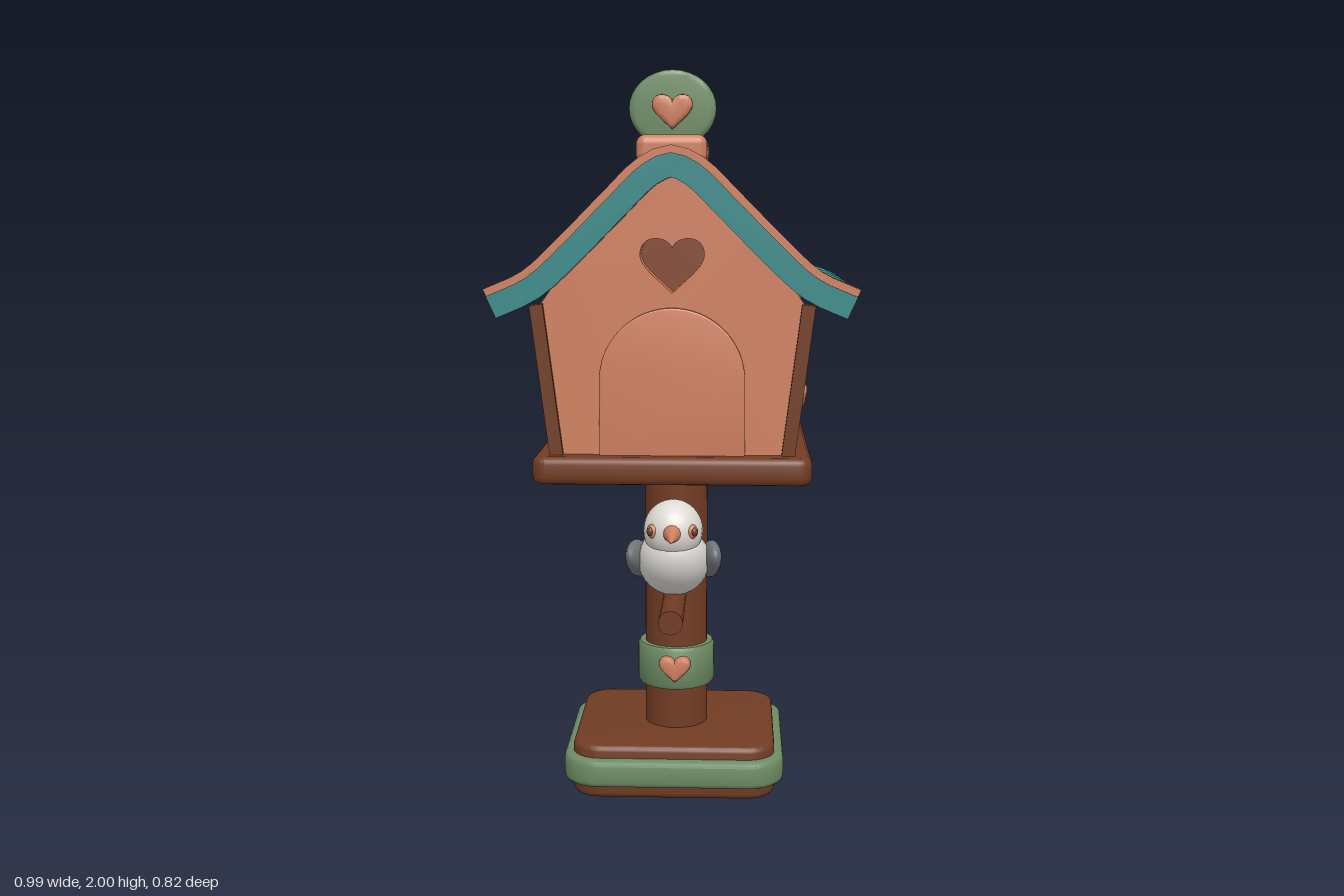
import * as THREE from 'three';
import { toCreasedNormals } from 'three/addons/utils/BufferGeometryUtils.js';
import { RoundedBoxGeometry } from 'three/addons/geometries/RoundedBoxGeometry.js';

const mat = (name, color, side = THREE.FrontSide) => {
  const m = new THREE.MeshStandardMaterial({ color, side });
  m.name = name;
  return m;
};
const clay = mat('terracotta', 0xd08060);
const teal = mat('teal', 0x388a89, THREE.DoubleSide);
const wood = mat('brown wood', 0x713c23);
const recess = mat('shaded brown', 0x84482f);
const green = mat('sage green', 0x6c8b63);
const white = mat('off white', 0xdedbd6);
const grey = mat('grey feathers', 0x74777a);

// Roof cross-section, eave to eave over the apex
const half = [[0.07, 1.755], [0.165, 1.665], [0.28, 1.55], [0.38, 1.46], [0.485, 1.412]];
const roofCurve = new THREE.CatmullRomCurve3([
  ...half.map(([x, y]) => new THREE.Vector3(-x, y, 0)).reverse(),
  new THREE.Vector3(0, 1.782, 0),
  ...half.map(([x, y]) => new THREE.Vector3(x, y, 0)),
]);
// f runs from -1 (right eave) to 1 (left eave); lift is measured along the normal
function roofPoint(f, lift) {
  const u = 0.5 + 0.5 * f;
  const p = roofCurve.getPointAt(u), t = roofCurve.getTangentAt(u);
  return new THREE.Vector2(p.x - t.y * lift, p.y + t.x * lift);
}
function roofLine(f, lift, n = 32) {
  return Array.from({ length: n + 1 }, (_, i) => roofPoint(f * (1 - 2 * i / n), lift));
}

function extrude(shape, z0, z1, bevel = 0) {
  const geo = new THREE.ExtrudeGeometry(shape, {
    depth: z1 - z0 - 2 * bevel, curveSegments: 16, bevelEnabled: bevel > 0,
    bevelSize: bevel, bevelThickness: bevel, bevelOffset: -bevel, bevelSegments: 3,
  });
  geo.translate(0, 0, z0 + bevel);
  return toCreasedNormals(geo, 0.6);
}
const roofBand = (f, top, bottom, z0, z1) => extrude(
  new THREE.Shape([...roofLine(f, top), ...roofLine(f, bottom).reverse()]), z0, z1);

function heart(w, y = 0) {
  const s = new THREE.Shape();
  s.moveTo(0, y + 0.5 * w);
  s.bezierCurveTo(0.15 * w, y + 0.9 * w, w, y + 0.95 * w, w, y + 0.3 * w);
  s.bezierCurveTo(w, y - 0.1 * w, 0.4 * w, y - 0.5 * w, 0, y - 0.9 * w);
  s.bezierCurveTo(-0.4 * w, y - 0.5 * w, -w, y - 0.1 * w, -w, y + 0.3 * w);
  s.bezierCurveTo(-w, y + 0.95 * w, -0.15 * w, y + 0.9 * w, 0, y + 0.5 * w);
  return s;
}
function arch(w, y0, top) {
  const s = new THREE.Shape();
  s.moveTo(-w, y0);
  s.lineTo(w, y0);
  s.absarc(0, top - w, w, 0, Math.PI, false);
  s.lineTo(-w, y0);
  return s;
}
// Flat slab with rounded corners in plan
function slab(hx, hz, y0, y1, r, bevel) {
  const s = new THREE.Shape();
  s.absarc(hx - r, hz - r, r, 0, Math.PI / 2);
  s.absarc(-hx + r, hz - r, r, Math.PI / 2, Math.PI);
  s.absarc(-hx + r, -hz + r, r, Math.PI, Math.PI * 1.5);
  s.absarc(hx - r, -hz + r, r, Math.PI * 1.5, Math.PI * 2);
  return extrude(s, y0, y1, bevel).rotateX(-Math.PI / 2);
}

// One row of scalloped shingles; the last strip of the grid is the drop below the edge
function shingleRow(side, start, edge, shift) {
  const geo = new THREE.PlaneGeometry(0.7, 1, 70, 7), p = geo.attributes.position;
  for (let i = 0; i < p.count; i++) {
    const k = Math.round((0.5 - p.getY(i)) * 7), v = Math.min(k / 6, 1);
    const z = -0.06 - side * p.getX(i);
    const t = (((z + shift) / 0.19) % 1 + 1) % 1;
    const e = edge - 0.075 * (1 - Math.sqrt(Math.max(0, 1 - (2 * t - 1) ** 2)));
    const q = roofPoint(side * (start + (e - start) * v), k === 7 ? -0.004 : 0.002 + 0.02 * v);
    p.setXYZ(i, q.x, q.y, z);
  }
  return toCreasedNormals(geo, 0.7);
}

export function createModel() {
  const model = new THREE.Group();
  model.name = 'birdhouse';
  const add = (name, geo, material, x = 0, y = 0, z = 0, parent = model) => {
    const m = new THREE.Mesh(geo, material);
    m.name = name;
    m.position.set(x, y, z);
    parent.add(m);
    return m;
  };

  // Base, pole and perch
  add('base', slab(0.285, 0.262, 0, 0.15, 0.08, 0.015), wood, 0, 0, 0.012);
  add('baseBand', slab(0.31, 0.285, 0.04, 0.117, 0.1, 0.015), green, 0, 0, 0.018);
  add('pole', new THREE.CylinderGeometry(0.09, 0.09, 0.79, 32), wood, 0, 0.53, 0.018);
  const ring = [[0.08, 0.27], [0.105, 0.27], [0.111, 0.28], [0.111, 0.382], [0.105, 0.392], [0.08, 0.392]];
  add('poleBand', toCreasedNormals(new THREE.LatheGeometry(
    ring.map(([x, y]) => new THREE.Vector2(x, y)), 32), 0.6), green, 0, 0, 0.02);
  add('poleHeart', extrude(heart(0.045), 0, 0.035, 0.012), clay, 0, 0.335, 0.113);
  add('perch', new THREE.CylinderGeometry(0.033, 0.033, 0.31, 20).rotateX(Math.PI / 2), wood, 0, 0.548, 0.255);

  // House floor and walls
  add('floor', slab(0.375, 0.378, 0.91, 0.985, 0.04, 0.02), wood, 0, 0, -0.015);
  const wallShape = () => new THREE.Shape([
    new THREE.Vector2(-0.315, 0.97), new THREE.Vector2(0.315, 0.97), new THREE.Vector2(0.365, 1.37),
    ...roofLine(0.72, -0.05, 20), new THREE.Vector2(-0.365, 1.37)]);
  add('houseBody', extrude(wallShape(), -0.345, 0.23), clay);
  add('recessBack', extrude(arch(0.17, 0.98, 1.34), 0.23, 0.237), recess);
  add('heartRecess', extrude(heart(0.095, 1.495), 0.23, 0.237), recess);
  const front = wallShape();
  front.holes.push(arch(0.155, 0.986, 1.33), heart(0.085, 1.495));
  add('frontWall', extrude(front, 0.23, 0.3), clay);
  const frame = arch(0.195, 0.98, 1.38);
  frame.holes.push(arch(0.155, 0.982, 1.33));
  add('doorFrame', extrude(frame, 0.29, 0.318, 0.004), clay);

  for (const s of [1, -1]) {
    const side = s > 0 ? 'left' : 'right';
    // Leaning corner posts
    const lean = -s * 0.125;
    add(side + 'FrontPost', new THREE.BoxGeometry(0.036, 0.42, 0.055), wood, s * 0.336, 1.18, 0.288).rotation.z = lean;
    add(side + 'BackPost', new THREE.BoxGeometry(0.02, 0.42, 0.016), wood, s * 0.334, 1.18, -0.341).rotation.z = lean;
    // Little side door
    const door = new THREE.Group();
    door.name = side + 'SideDoor';
    door.position.set(s * 0.315, 0.98, -0.018);
    door.rotation.set(0, s * Math.PI / 2, lean, 'ZYX');
    model.add(door);
    add('sideDoorPanel', extrude(arch(0.085, 0, 0.252), -0.01, 0.02, 0.005), green, 0, 0, 0, door);
    add('sideDoorHeart', extrude(heart(0.038), 0, 0.03, 0.01), clay, 0, 0.135, 0.01, door);
    // Shingles
    [0.36, 0.56, 0.76, 0.96].forEach((edge, r) => add(side + 'Shingles' + (r + 1),
      shingleRow(s, Math.max(0.04, edge - 0.3), edge, (r % 2) * 0.07 + 0.06), teal));
  }

  // Roof shell, gable trim and ridge
  add('roofShell', roofBand(0.92, 0, -0.055, -0.41, 0.295), teal);
  add('gableTrim', roofBand(1, 0.022, -0.06, 0.288, 0.364), clay);
  add('gableFace', roofBand(1, 0.002, -0.061, 0.363, 0.371), teal);
  add('ridge', new RoundedBoxGeometry(0.14, 0.09, 0.52, 4, 0.03), clay, 0, 1.804, -0.15).rotation.x = 0.035;
  add('ridgeCap', new RoundedBoxGeometry(0.185, 0.075, 0.27, 4, 0.025), clay, 0, 1.793, 0.22);

  // Ridge ornament
  const disc = new THREE.Shape();
  disc.absarc(0, 0, 0.115, 0, Math.PI * 2);
  const discGeo = extrude(disc, 0.213, 0.277, 0.012);
  discGeo.scale(1, 0.1 / 0.115, 1);
  add('ornamentDisc', discGeo, green, 0, 1.9, 0);
  add('ornamentHeart', extrude(heart(0.053), 0.265, 0.302, 0.012), clay, 0, 1.893, 0);
  const brace = new THREE.Shape();
  brace.moveTo(-0.23, 1.81);
  brace.lineTo(-0.07, 1.81);
  brace.lineTo(-0.095, 1.905);
  brace.lineTo(-0.155, 1.905);
  brace.quadraticCurveTo(-0.2, 1.91, -0.23, 1.97);
  add('ornamentBrace', extrude(brace, -0.056, 0.056, 0.008).rotateY(Math.PI / 2), green);

  // Bird
  const bird = new THREE.Group();
  bird.name = 'bird';
  model.add(bird);
  const blob = (name, material, pos, size, tilt = 0, yaw = 0) => {
    const m = add(name, new THREE.SphereGeometry(1, 28, 20), material, ...pos, bird);
    m.scale.set(...size);
    m.rotation.set(tilt, yaw, 0);
  };
  blob('birdBody', white, [0, 0.67, 0.195], [0.1, 0.095, 0.13], -0.55);
  blob('birdHead', white, [0, 0.765, 0.24], [0.082, 0.085, 0.085]);
  blob('birdTail', grey, [0, 0.635, 0.085], [0.05, 0.018, 0.07], -0.1);
  const beak = add('beak', new THREE.ConeGeometry(0.026, 0.1, 14), clay, 0, 0.768, 0.362, bird);
  beak.rotation.x = Math.PI / 2 + 0.06;
  for (const s of [1, -1]) {
    blob('wing', grey, [s * 0.102, 0.665, 0.155], [0.028, 0.052, 0.128], -0.3, s * 0.12);
    blob('wingTip', grey, [s * 0.095, 0.635, 0.075], [0.02, 0.025, 0.06], 0.05);
    blob('eyeRing', clay, [s * 0.054, 0.773, 0.296], [0.017, 0.02, 0.014], 0, s * 0.75);
    blob('pupil', wood, [s * 0.06, 0.774, 0.304], [0.01, 0.012, 0.009], 0, s * 0.75);
  }
  return model;
}
